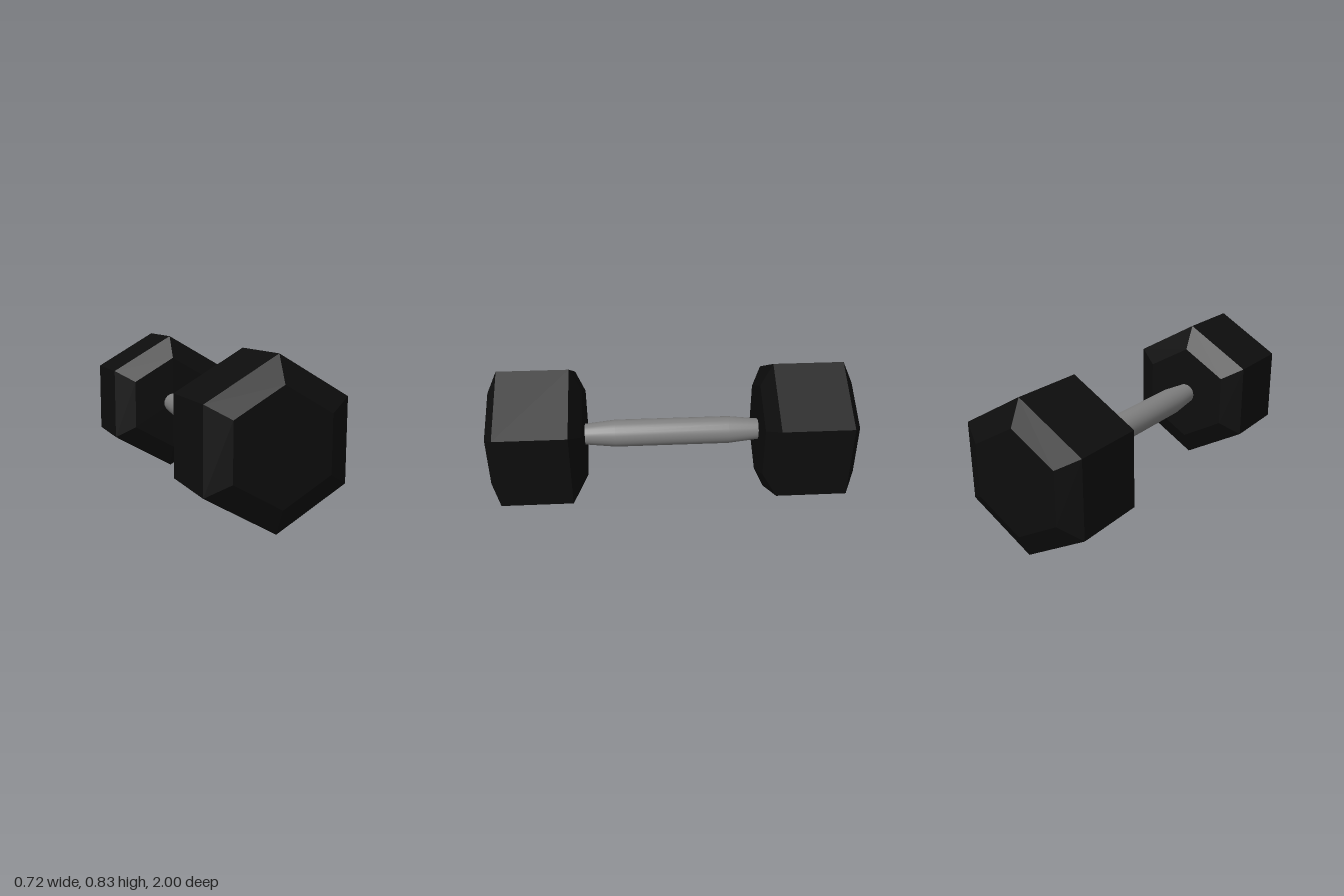
import * as THREE from 'three';
import { toCreasedNormals } from 'three/addons/utils/BufferGeometryUtils.js';

const CENTRE_Y = 0.416;

// Revolve [radius, z] points around the z axis
function turned(points, sides) {
  const profile = points.map(([r, z]) => new THREE.Vector2(r, z));
  return new THREE.LatheGeometry(profile, sides).rotateX(Math.PI / 2);
}

export function createModel() {
  const model = new THREE.Group();
  model.name = 'dumbbell';

  const rubber = new THREE.MeshStandardMaterial({ color: 0x0d0d0d, flatShading: true });
  const steel = new THREE.MeshStandardMaterial({ color: 0x808080 });

  // Hexagonal heads with chamfered ends, a corner pointing up and down
  const headGeometry = turned([
    [0, -0.255], [0.284, -0.255], [0.416, -0.193],
    [0.416, 0.193], [0.284, 0.255], [0, 0.255],
  ], 6);
  for (const [name, side] of [['frontHead', 1], ['backHead', -1]]) {
    const head = new THREE.Mesh(headGeometry, rubber);
    head.name = name;
    head.position.set(0, CENTRE_Y, side * 0.745);
    model.add(head);
  }

  // Grip tapering towards both heads
  const gripGeometry = toCreasedNormals(turned([
    [0, -0.55], [0.053, -0.55], [0.059, -0.49], [0.077, -0.32],
    [0.077, 0.32], [0.059, 0.49], [0.053, 0.55], [0, 0.55],
  ], 20), Math.PI / 6);
  const grip = new THREE.Mesh(gripGeometry, steel);
  grip.name = 'grip';
  grip.position.y = CENTRE_Y;
  model.add(grip);

  return model;
}
